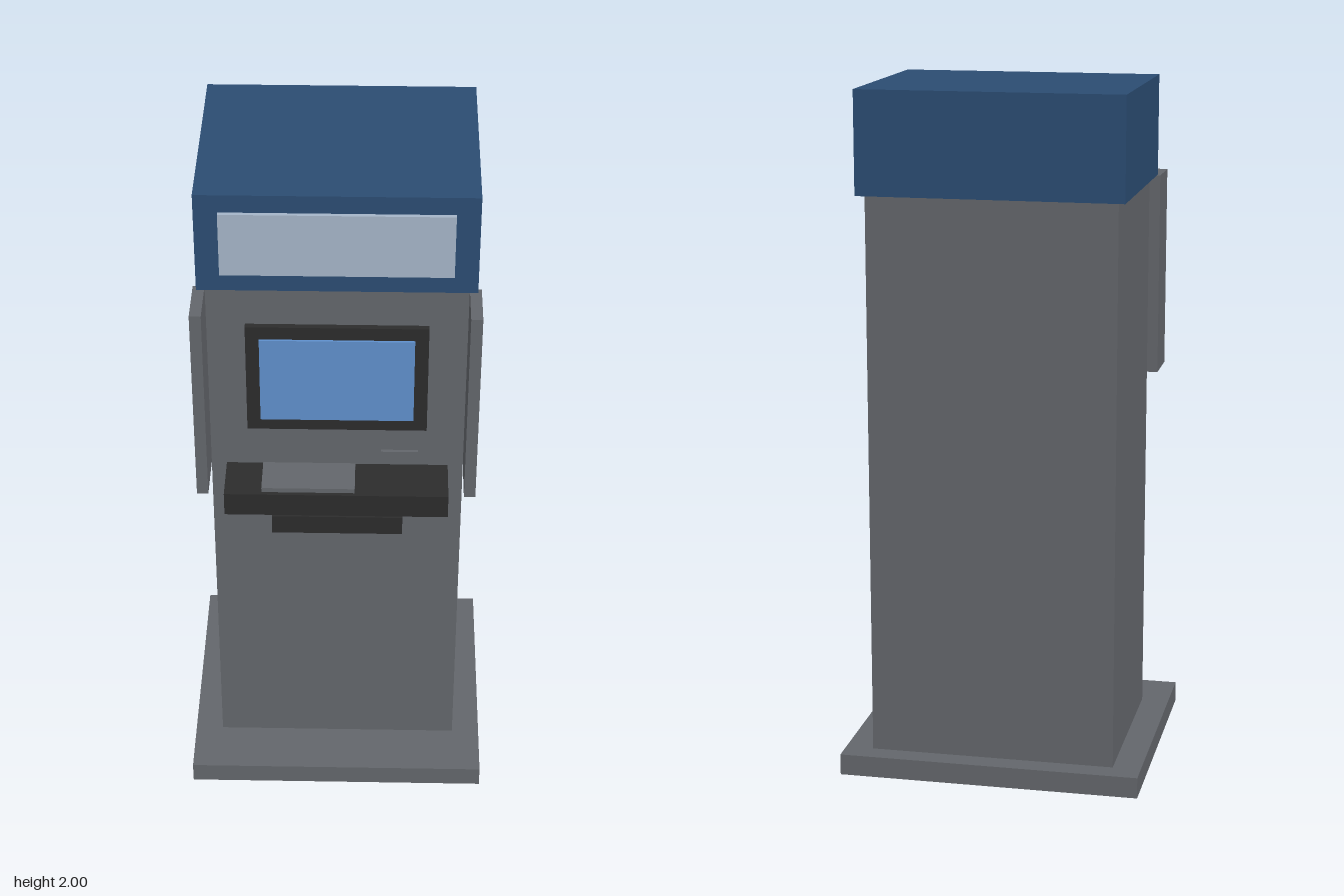
import * as THREE from 'three';

const material = (name, color) => {
  const m = new THREE.MeshStandardMaterial({ color });
  m.name = name;
  return m;
};

export function createModel() {
  const grey = material('cabinet grey', 0x63666b);
  const dark = material('trim black', 0x2c2c2c);
  const blue = material('header blue', 0x2b4c72);
  const pale = material('sign pale blue', 0xa5b5c8);
  const glow = material('screen blue', 0x5f90cc);

  const kiosk = new THREE.Group();
  kiosk.name = 'kiosk';

  // Box given by its limits on each axis
  const box = (name, mat, [x0, x1], [y0, y1], [z0, z1]) => {
    const mesh = new THREE.Mesh(new THREE.BoxGeometry(x1 - x0, y1 - y0, z1 - z0), mat);
    mesh.position.set((x0 + x1) / 2, (y0 + y1) / 2, (z0 + z1) / 2);
    mesh.name = name;
    kiosk.add(mesh);
  };

  // Cabinet
  const face = 0.232;
  box('base', grey, [-0.44, 0.44], [0, 0.062], [-0.4, 0.4]);
  box('body', grey, [-0.358, 0.358], [0.062, 1.705], [-0.335, face]);

  // Header with sign panel
  box('header', blue, [-0.38, 0.38], [1.705, 2], [-0.36, 0.25]);
  box('signPanel', pale, [-0.315, 0.315], [1.76, 1.948], [0.25, 0.262]);

  // Privacy wings either side
  box('rightWing', grey, [-0.39, -0.358], [1.11, 1.705], [face, 0.38]);
  box('leftWing', grey, [0.358, 0.39], [1.11, 1.705], [face, 0.38]);

  // Display
  box('screenBezel', dark, [-0.252, 0.252], [1.242, 1.585], [face, 0.25]);
  box('screen', glow, [-0.214, 0.214], [1.28, 1.546], [0.25, 0.257]);

  // Shelf, keypad and slots
  box('shelf', dark, [-0.315, 0.315], [1.036, 1.108], [face, 0.38]);
  box('keypad', grey, [-0.21, 0.052], [1.108, 1.122], [0.248, 0.368]);
  box('cardSlot', grey, [0.125, 0.23], [1.132, 1.16], [face, 0.242]);
  box('dispenser', dark, [-0.189, 0.189], [0.868, 0.928], [face, 0.252]);

  return kiosk;
}
